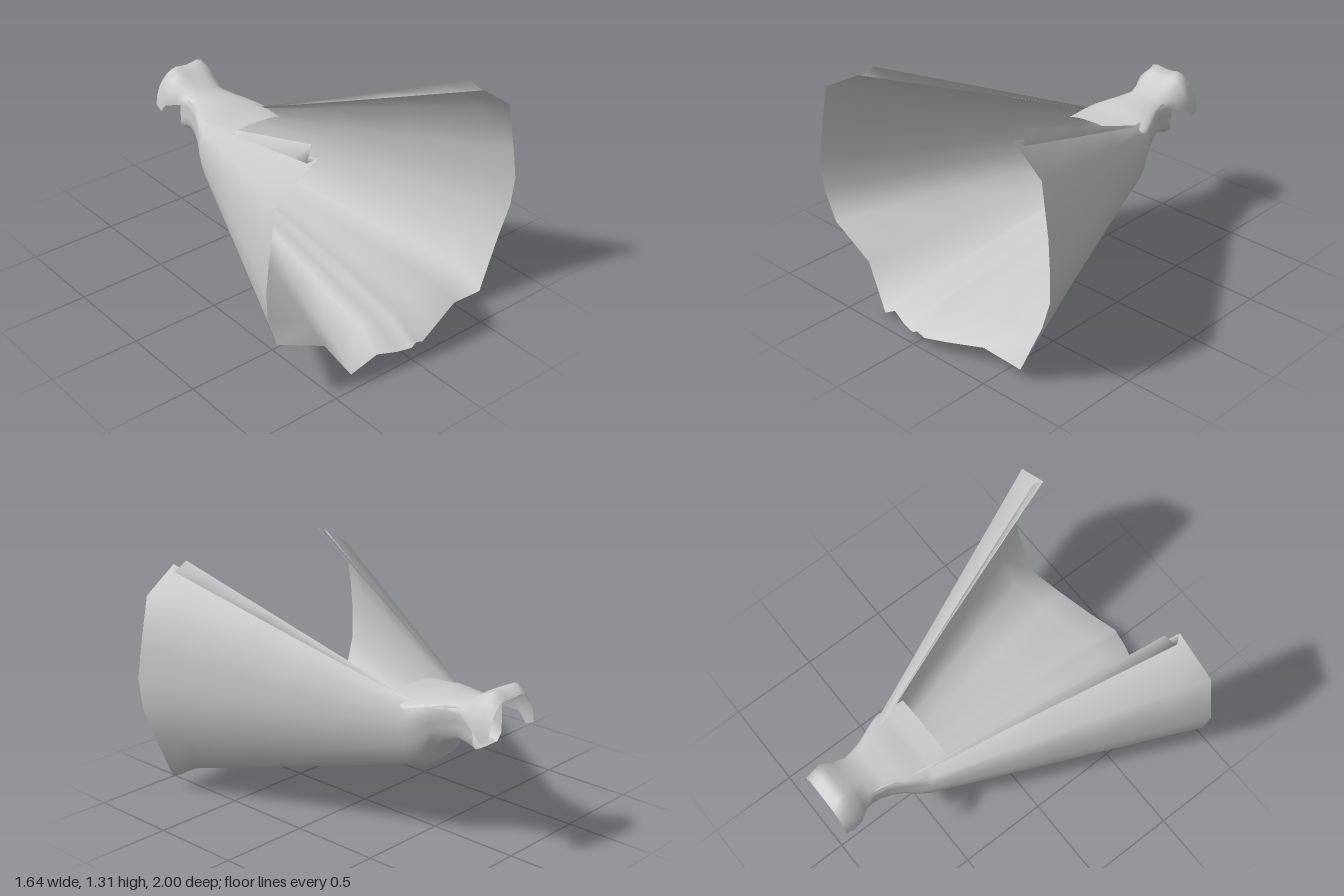
import * as THREE from 'three';

const material = new THREE.MeshStandardMaterial({ color: 0xcccccc, side: THREE.DoubleSide });
const CX = 0.035; // the neck sits slightly off centre

// Smooth open sheet through rows of [x, y, z] points
function sheet(name, rows) {
  const n = rows[0].length, index = [];
  for (let r = 0; r < rows.length - 1; r++) {
    for (let i = 0; i < n - 1; i++) {
      const a = r * n + i, b = a + n;
      index.push(a, a + 1, b, a + 1, b + 1, b);
    }
  }
  const g = new THREE.BufferGeometry();
  g.setAttribute('position', new THREE.Float32BufferAttribute(rows.flat(2), 3));
  g.setIndex(index);
  g.computeVertexNormals();
  const mesh = new THREE.Mesh(g, material);
  mesh.name = name;
  return mesh;
}

// Outer hem, from the left top corner under the body to the right top corner
const hem = [
  [0.55, 1.31, 0.76], [0.60, 1.25, 0.80], [0.57, 1.28, 0.84], [0.75, 1.145, 0.85],
  [0.80, 0.87, 0.86], [0.82, 0.70, 0.87], [0.81, 0.53, 0.86], [0.75, 0.36, 0.85],
  [0.62, 0.07, 0.865], [0.40, 0.11, 0.895], [0.20, 0.08, 0.955], [0.08, 0.07, 0.995],
  [0.03, 0.09, 1.00], [0.00, 0.07, 1.00], [-0.08, 0.075, 0.985], [-0.19, 0.09, 0.95],
  [-0.32, 0.0, 0.905], [-0.47, 0.23, 0.87], [-0.75, 0.36, 0.85], [-0.81, 0.53, 0.86],
  [-0.825, 0.70, 0.87], [-0.80, 0.87, 0.86], [-0.75, 1.145, 0.85], [-0.50, 1.28, 0.84],
  [-0.53, 1.25, 0.80], [-0.47, 1.31, 0.76],
];

// Matching ring where the cloth gathers
const gather = [
  [0.20, 0.77, -0.47], [0.21, 0.765, -0.47], [0.215, 0.76, -0.47], [0.25, 0.735, -0.48],
  [0.26, 0.67, -0.5], [0.265, 0.61, -0.5], [0.25, 0.54, -0.5], [0.23, 0.46, -0.5],
  [0.18, 0.41, -0.5], [0.13, 0.385, -0.5], [0.09, 0.375, -0.5], [0.05, 0.37, -0.5],
  [0.03, 0.37, -0.5], [0.015, 0.37, -0.5], [-0.01, 0.37, -0.5], [-0.045, 0.375, -0.5],
  [-0.08, 0.38, -0.5], [-0.12, 0.395, -0.5], [-0.18, 0.46, -0.5], [-0.20, 0.54, -0.5],
  [-0.21, 0.61, -0.5], [-0.205, 0.67, -0.5], [-0.195, 0.735, -0.48], [-0.155, 0.76, -0.47],
  [-0.15, 0.765, -0.47], [-0.14, 0.77, -0.47],
];

// How far the floor of the body lies above a straight run to the turned-down hem
const lift = (i) => (i === 16 ? 0.045 : i >= 8 && i < 16 ? 0.058 : 0);

export function createModel() {
  const group = new THREE.Group();
  group.name = 'flaredCloth';

  // Flared body, straight until its floor turns down at the hem
  const rows = [0, 0.12, 0.4, 0.7].map((s) => hem.map((p, i) => {
    const q = p.map((v, k) => v + (gather[i][k] - v) * s);
    if (s > 0) q[1] += lift(i) * (1 - s);
    if (s > 0 && i === 8) q[0] += 0.03 * (1 - s);
    return q;
  }));
  rows.push(gather);

  // Narrowing neck, becoming squarer: [z, half width, top, bottom, squareness]
  const neck = [
    [-0.55, 0.208, 0.768, 0.41, 0.1], [-0.62, 0.174, 0.775, 0.52, 0.2],
    [-0.68, 0.145, 0.778, 0.565, 0.4], [-0.75, 0.124, 0.78, 0.592, 0.6],
    [-0.80, 0.118, 0.775, 0.582, 0.6], [-0.85, 0.118, 0.75, 0.565, 0.6],
  ];
  for (const [z, w, top, bottom, square] of neck) {
    rows.push(gather.map(([x, y]) => {
      const u = (x - CX) / 0.235, v = (y - 0.57) / 0.2;
      const k = 1 + square * (Math.hypot(u, v) / Math.max(Math.abs(u), Math.abs(v)) - 1);
      const [su, sv] = [u, v].map((c) => THREE.MathUtils.clamp(c * k, -1, 1));
      return [CX + w * su, (top + bottom) / 2 + sv * (top - bottom) / 2, z];
    }));
  }
  group.add(sheet('flaredBody', rows));

  // Flap over the neck rising into the collar: [z, half width, top, side drop, crown dip]
  const flap = [
    [-0.35, 0.202, 0.768, 0.03, 0], [-0.45, 0.215, 0.77, 0.035, 0], [-0.5, 0.222, 0.777, 0.045, 0],
    [-0.55, 0.205, 0.79, 0.05, 0], [-0.62, 0.172, 0.798, 0.045, 0], [-0.7, 0.14, 0.802, 0.045, 0],
    [-0.78, 0.13, 0.812, 0.06, 0], [-0.85, 0.155, 0.87, 0.14, 0.015], [-0.9, 0.187, 0.905, 0.19, 0.03],
    [-0.95, 0.183, 0.945, 0.285, 0.05], [-1.0, 0.178, 0.885, 0.205, 0.03],
  ];
  const steps = 16;
  group.add(sheet('collarFlap', flap.map(([z, w, top, drop, dip]) =>
    Array.from({ length: steps + 1 }, (_, i) => {
      const a = (i / steps - 0.5) * Math.PI;
      const crown = Math.abs(a) < Math.PI / 6 ? dip * Math.cos(a * 3) : 0;
      return [CX + w * Math.sin(a), top - drop * (1 - Math.cos(a)) - crown, z];
    }))));

  return group;
}
